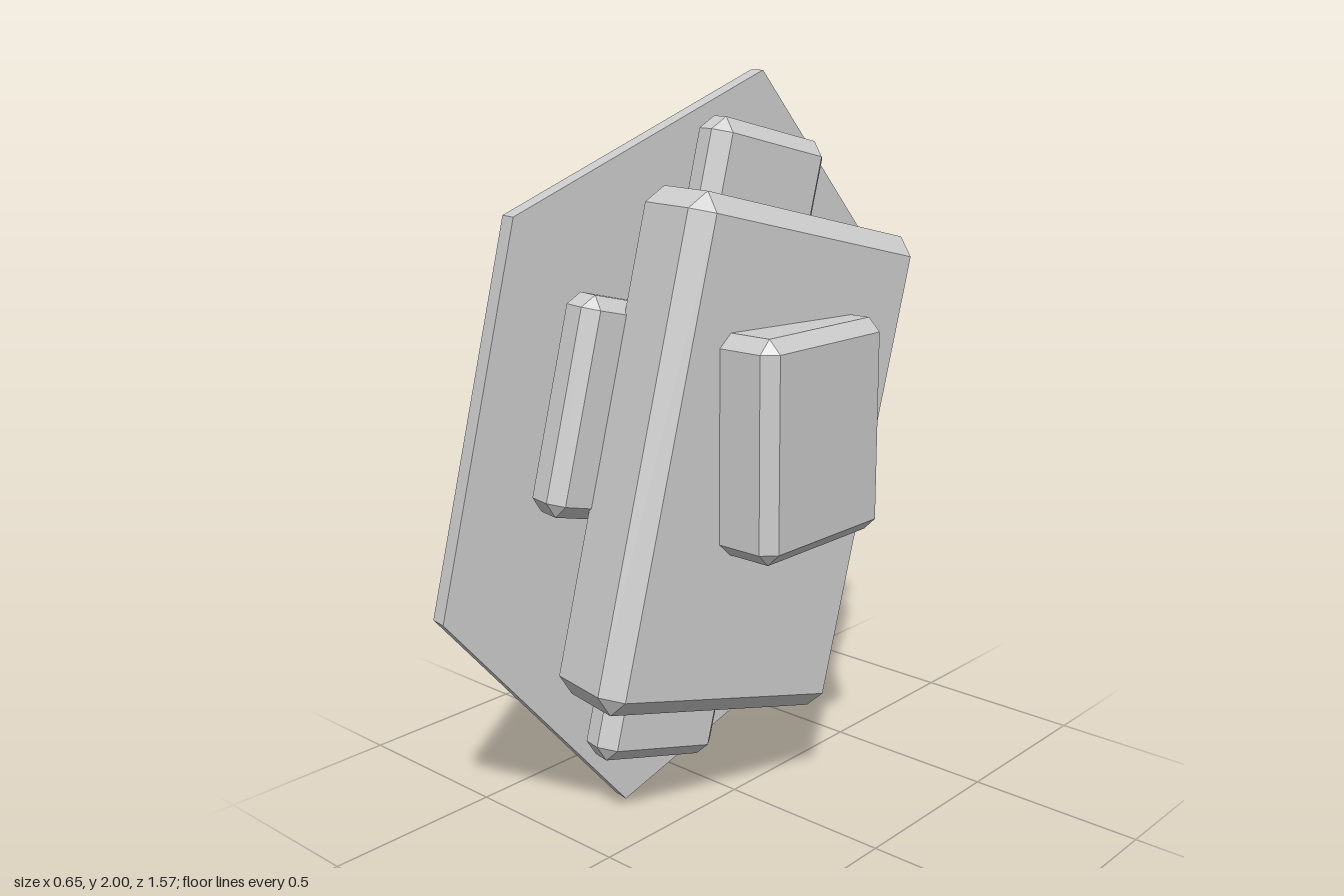
import * as THREE from 'three';
import { ConvexGeometry } from 'three/addons/geometries/ConvexGeometry.js';

// Box with every edge cut by a flat bevel
function bevelBox(w, h, d, b) {
  const points = [];
  for (const x of [-1, 1]) for (const y of [-1, 1]) for (const z of [-1, 1]) {
    const corner = [x * w / 2, y * h / 2, z * d / 2];
    const sign = [x, y, z];
    for (let keep = 0; keep < 3; keep++) {
      const p = corner.map((c, i) => (i === keep ? c : c - sign[i] * b));
      points.push(new THREE.Vector3(...p));
    }
  }
  return new ConvexGeometry(points);
}

export function createModel() {
  const model = new THREE.Group();
  const grey = new THREE.MeshStandardMaterial({ color: 0xcccccc });
  grey.name = 'light grey';

  const add = (parent, name, geometry, x, y, z) => {
    const mesh = new THREE.Mesh(geometry, grey);
    mesh.name = name;
    mesh.position.set(x, y, z);
    parent.add(mesh);
    return mesh;
  };

  // Tilted assembly: local z points out of the plate, local y along its length
  const tilted = new THREE.Group();
  tilted.name = 'tiltedAssembly';
  const out = new THREE.Vector3(1, -0.006, 0.164).normalize();
  const up = new THREE.Vector3(0.045, 1, -0.24).normalize();
  const side = new THREE.Vector3().crossVectors(up, out).normalize();
  up.crossVectors(out, side);
  tilted.quaternion.setFromRotationMatrix(new THREE.Matrix4().makeBasis(side, up, out));
  tilted.position.set(-0.175, 1, 0);
  model.add(tilted);

  // Hexagonal back plate
  const hex = new THREE.Shape([
    [0, 1.03], [-0.69, 0.515], [-0.69, -0.515], [0, -1.03], [0.69, -0.515], [0.69, 0.515],
  ].map(([x, y]) => new THREE.Vector2(x, y)));
  const plate = new THREE.ExtrudeGeometry(hex, { depth: 0.05, bevelEnabled: false });
  add(tilted, 'hexagonPlate', plate, 0, 0, -0.025);

  // Layered bevelled blocks
  add(tilted, 'longBar', bevelBox(0.4, 1.75, 0.13, 0.04), 0, 0, 0.08);
  add(tilted, 'crossBar', bevelBox(1.02, 0.57, 0.135, 0.035), 0, 0.08, 0.083);
  add(tilted, 'mainBlock', bevelBox(0.79, 1.33, 0.275, 0.05), 0, 0, 0.23);

  // Stepped hub on the back of the plate
  const discs = [
    ['hubBase', 0.182, 0.182, 0.04, -0.038],
    ['hubDisc', 0.175, 0.175, 0.053, -0.082],
    ['hubButton', 0.085, 0.055, 0.024, -0.119],
  ];
  for (const [name, inner, outer, depth, z] of discs) {
    const disc = new THREE.CylinderGeometry(inner, outer, depth, 20);
    disc.rotateX(Math.PI / 2);
    add(tilted, name, disc, 0, 0, z);
  }

  // Upright panel, square to the axes
  add(model, 'frontPanel', bevelBox(0.24, 0.58, 0.475, 0.035), 0.205, 1.09, 0);

  return model;
}
